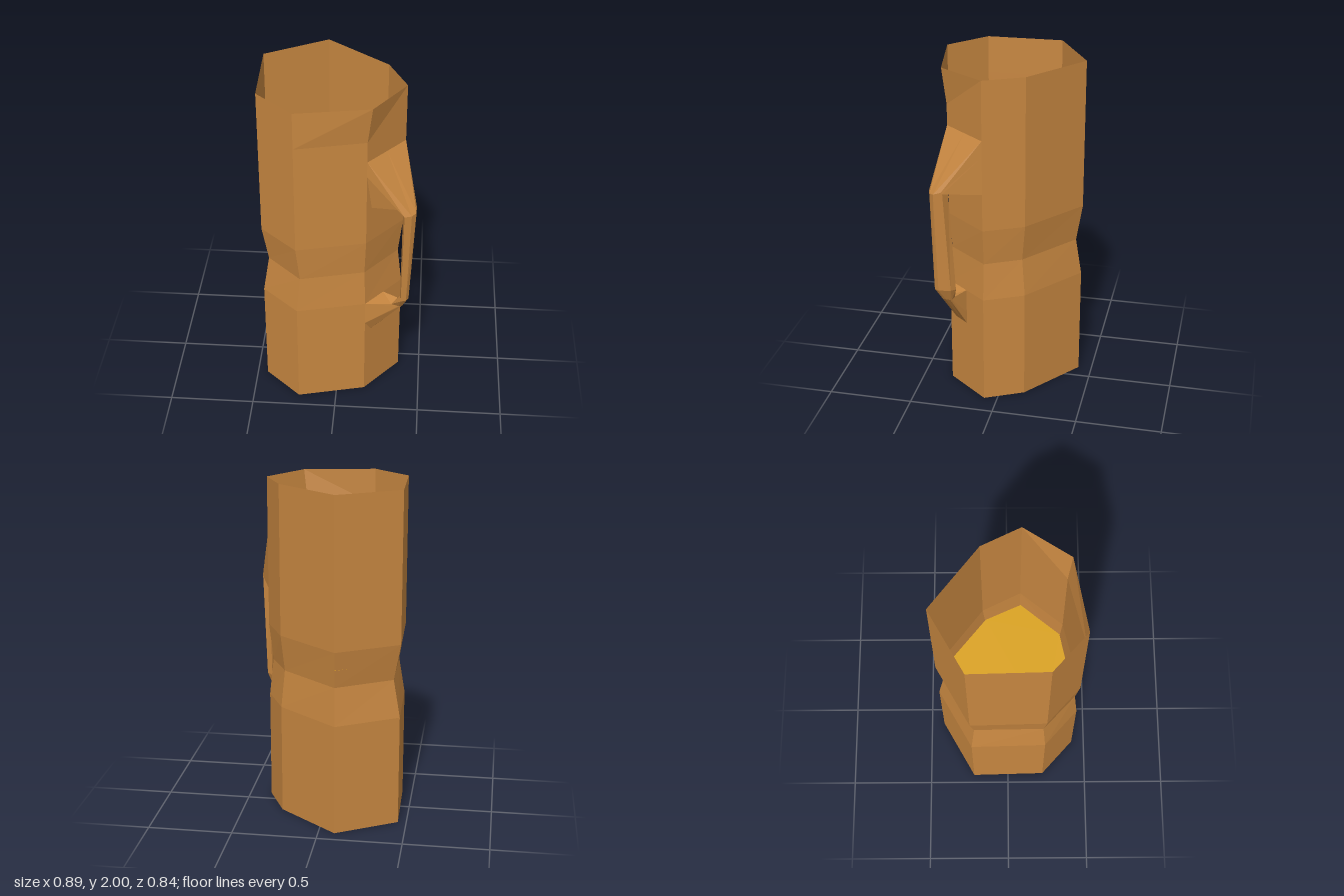
import * as THREE from 'three';

const material = (color) => new THREE.MeshStandardMaterial({ color, flatShading: true, side: THREE.DoubleSide });

// Skin through a list of closed rings, each ring being [x, y, z] corners
function loft(rings) {
  const n = rings[0].length;
  const index = [];
  for (let r = 0; r < rings.length - 1; r++) {
    for (let i = 0; i < n; i++) {
      const a = r * n + i, b = r * n + (i + 1) % n;
      index.push(a, b, a + n, b, b + n, a + n);
    }
  }
  const geometry = new THREE.BufferGeometry();
  geometry.setAttribute('position', new THREE.Float32BufferAttribute(rings.flat(2), 3));
  geometry.setIndex(index);
  geometry.computeVertexNormals();
  return geometry;
}

// Horizontal polygon from [x, z] corners
function plate(corners, y) {
  const shape = new THREE.Shape(corners.map(([x, z]) => new THREE.Vector2(x, -z)));
  return new THREE.ShapeGeometry(shape).rotateX(-Math.PI / 2).translate(0, y, 0);
}

export function createModel() {
  const group = new THREE.Group();
  const wood = material(0xc68640);
  const add = (name, geometry, mat) => {
    const mesh = new THREE.Mesh(geometry, mat);
    mesh.name = name;
    group.add(mesh);
  };

  // Seven-sided outlines of the cup, counter-clockwise seen from below
  const wide = [[-0.45, -0.22], [-0.095, -0.42], [0.26, -0.145], [0.37, 0.078],
    [0.168, 0.325], [-0.225, 0.42], [-0.44, 0.225]];
  const waist = [[-0.41, -0.2], [-0.09, -0.385], [0.24, -0.125], [0.345, 0.078],
    [0.16, 0.31], [-0.205, 0.4], [-0.405, 0.21]];
  // The rim is pulled out into a small lip at one corner
  const rim = wide.map((p, i) => (i === 4 ? [0.195, 0.345] : p));
  const level = (outline, y) => outline.map(([x, z]) => [x, y, z]);

  add('cupWall', loft([level(wide, 0), level(wide, 0.667), level(waist, 0.89),
    level(wide, 1.11), level(wide, 1.78), level(rim, 2)]), wood);
  add('cupBottom', plate(wide, 0).scale(1, -1, 1), wood);

  // Drink surface just above the waist
  add('drink', plate([[-0.42, -0.205], [-0.095, -0.405], [0.245, -0.13], [0.34, 0.08],
    [0.15, 0.31], [-0.215, 0.385], [-0.405, 0.215]], 1), material(0xdba21c));

  // Handle: wide upper mount, thin grip, smaller lower mount
  const upperMount = [[0.168, 1.655, 0.325], [0.27, 1.655, 0.2], [0.37, 1.655, 0.078],
    [0.37, 1.56, 0.078], [0.37, 1.335, 0.078], [0.195, 1.335, 0.292], [0.168, 1.56, 0.325]];
  const gripTop = [[0.42, 1.34, 0.367], [0.445, 1.345, 0.34], [0.445, 1.36, 0.295],
    [0.443, 1.35, 0.287], [0.4, 1.34, 0.265], [0.37, 1.345, 0.32], [0.38, 1.34, 0.38]];
  const gripBottom = [[0.405, 0.73, 0.355], [0.42, 0.73, 0.33], [0.42, 0.735, 0.27],
    [0.417, 0.735, 0.258], [0.385, 0.73, 0.235], [0.37, 0.72, 0.3], [0.375, 0.73, 0.365]];
  const lowerTip = [[0.385, 0.66, 0.315], [0.39, 0.66, 0.295], [0.39, 0.66, 0.27],
    [0.385, 0.66, 0.26], [0.355, 0.665, 0.25], [0.32, 0.65, 0.295], [0.365, 0.655, 0.318]];
  const lowerMount = [[0.2, 0.447, 0.285], [0.235, 0.447, 0.243], [0.268, 0.447, 0.203],
    [0.268, 0.52, 0.203], [0.268, 0.667, 0.203], [0.168, 0.667, 0.325], [0.168, 0.52, 0.325]];
  add('handle', loft([upperMount, gripTop, gripBottom, lowerTip, lowerMount]), wood);

  return group;
}
